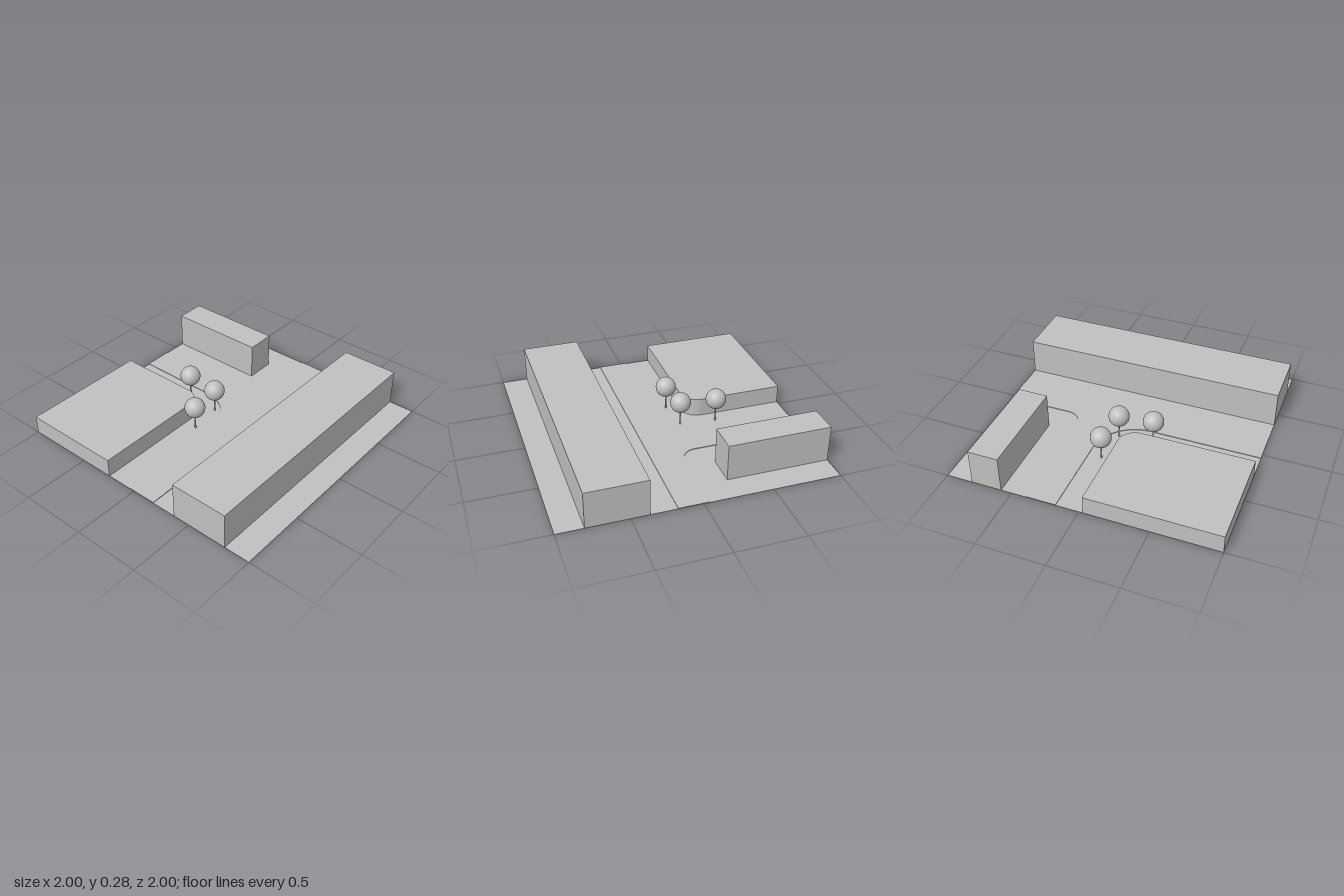
import * as THREE from 'three';

const GREY = new THREE.MeshStandardMaterial({ color: 0xc0c0c0, flatShading: true });
GREY.name = 'plain grey';
const GROUND = GREY.clone();
GROUND.name = 'plain grey two-sided';
GROUND.side = THREE.DoubleSide;

function add(parent, name, geometry, x = 0, y = 0, z = 0, material = GREY) {
  const mesh = new THREE.Mesh(geometry, material);
  mesh.name = name;
  mesh.position.set(x, y, z);
  parent.add(mesh);
  return mesh;
}

// Box standing on the ground, given by its plan limits
function addBlock(parent, name, x0, x1, z0, z1, h) {
  add(parent, name, new THREE.BoxGeometry(x1 - x0, h, z1 - z0), (x0 + x1) / 2, h / 2, (z0 + z1) / 2);
}

// Plan outline (x, -z) raised to a height
function raisePlan(shape, h) {
  return new THREE.ExtrudeGeometry(shape, { depth: h, bevelEnabled: false, curveSegments: 16 })
    .rotateX(-Math.PI / 2);
}

export function createModel() {
  const model = new THREE.Group();
  model.name = 'streetCorner';

  add(model, 'ground', new THREE.PlaneGeometry(2, 2).rotateX(-Math.PI / 2), 0, 0, 0, GROUND);

  // Tall buildings
  addBlock(model, 'frontBuilding', -1, 1, 0.37, 0.805, 0.275);
  addBlock(model, 'sideBuilding', 0.58, 0.805, -1, -0.24, 0.275);

  // Low building with a rounded street corner
  const low = new THREE.Shape();
  low.moveTo(-1, 1);
  low.lineTo(-1, 0.24);
  low.lineTo(-0.16, 0.24);
  low.absarc(-0.16, 0.37, 0.13, -Math.PI / 2, 0, false);
  low.lineTo(-0.03, 1);
  add(model, 'cornerBuilding', raisePlan(low, 0.14));

  // T-shaped road with rounded junction corners
  const road = new THREE.Shape();
  road.moveTo(-1, -0.18);
  road.lineTo(1, -0.18);
  road.lineTo(1, 0.04);
  road.lineTo(0.51, 0.04);
  road.absarc(0.51, 0.16, 0.12, -Math.PI / 2, -Math.PI, true);
  road.lineTo(0.39, 1);
  road.lineTo(0.17, 1);
  road.absarc(-0.16, 0.37, 0.33, 0, -Math.PI / 2, true);
  road.lineTo(-1, 0.04);
  add(model, 'road', raisePlan(road, 0.005));

  // Trees on the pavement
  const trunk = new THREE.CylinderGeometry(0.006, 0.006, 0.13, 12);
  const crown = new THREE.SphereGeometry(0.077, 32, 16);
  for (const [x, z] of [[0.07, -0.44], [0.04, -0.17], [-0.215, -0.14]]) {
    const tree = new THREE.Group();
    tree.name = 'tree';
    tree.position.set(x, 0, z);
    add(tree, 'trunk', trunk, 0, 0.065, 0);
    add(tree, 'crown', crown, 0, 0.188, 0);
    model.add(tree);
  }
  return model;
}
